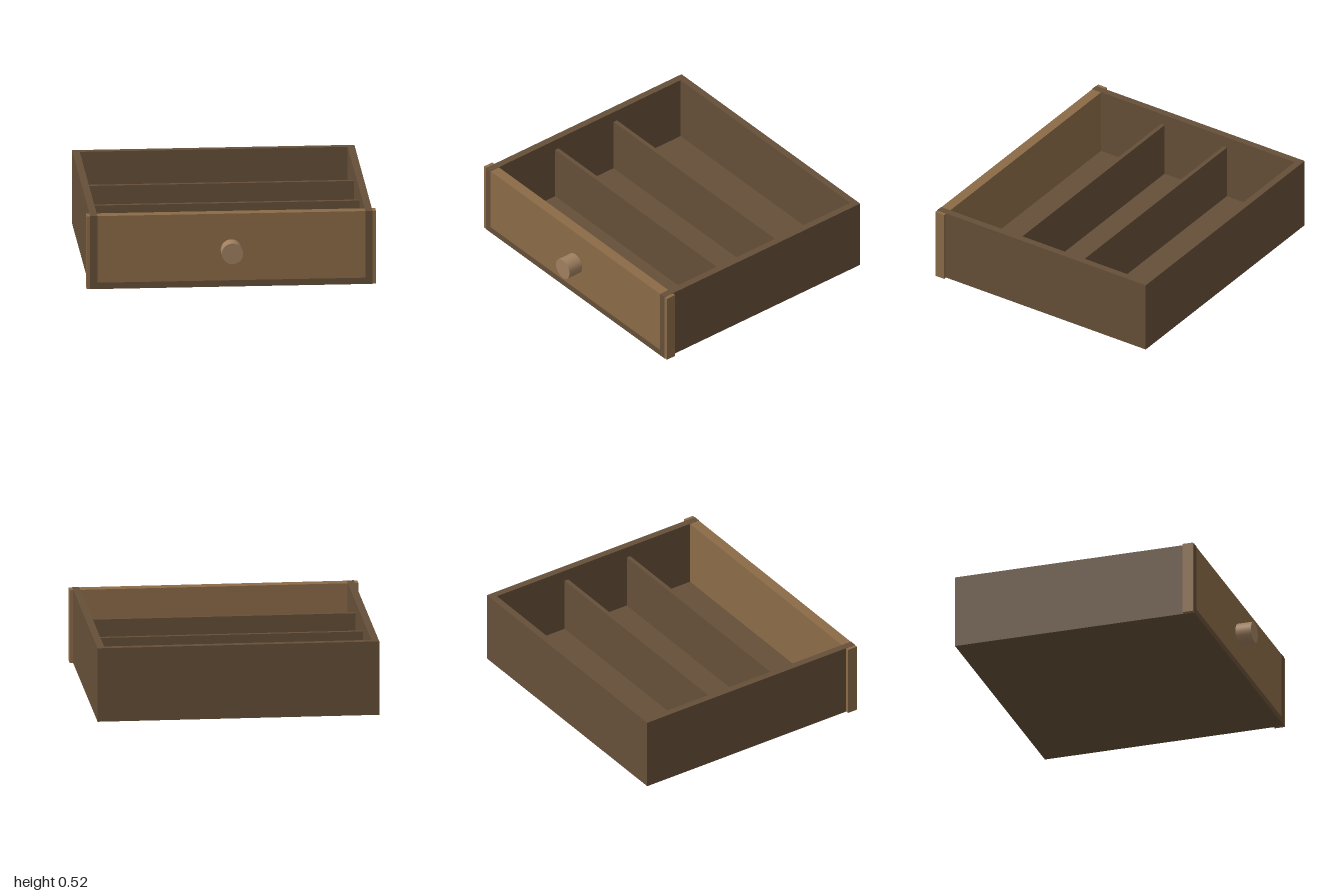
import * as THREE from 'three';

export function createModel() {
  const drawer = new THREE.Group();
  drawer.name = 'drawer';

  const darkWood = new THREE.MeshStandardMaterial({ color: 0x654f38 });
  const lightWood = new THREE.MeshStandardMaterial({ color: 0x8b6b47 });
  const knobWood = new THREE.MeshStandardMaterial({ color: 0xa08060 });

  // Adds a board spanning the given ranges on each axis
  function board(name, material, [x0, x1], [y0, y1], [z0, z1]) {
    const mesh = new THREE.Mesh(new THREE.BoxGeometry(x1 - x0, y1 - y0, z1 - z0), material);
    mesh.position.set((x0 + x1) / 2, (y0 + y1) / 2, (z0 + z1) / 2);
    mesh.name = name;
    drawer.add(mesh);
  }

  const height = 0.522, floorTop = 0.045;
  const outer = 0.976, inner = 0.926;
  const back = -0.925, front = 0.812;
  const lip = 0.0015; // dark boards sit just proud of the front panel

  // Floor and front panel
  board('floor', darkWood, [-outer, outer], [0, floorTop], [back, front + lip]);
  board('frontPanel', lightWood, [-1, 1], [lip, height - lip], [0.738, front]);

  // Side walls run through to the face of the front panel
  for (const [name, s] of [['leftWall', 1], ['rightWall', -1]]) {
    const xs = [s * inner, s * outer].sort((a, b) => a - b);
    board(name, darkWood, xs, [0, height], [back, front + lip]);
  }
  board('backWall', darkWood, [-inner, inner], [floorTop, height], [back, -0.876]);

  // Two lower dividers splitting the tray into three compartments
  for (const z of [-0.295, 0.224]) {
    board('divider', darkWood, [-inner, inner], [floorTop, 0.44], [z - 0.015, z + 0.015]);
  }

  // Round pull knob
  const knob = new THREE.Mesh(new THREE.CylinderGeometry(0.074, 0.074, 0.113, 32), knobWood);
  knob.rotation.x = Math.PI / 2;
  knob.position.set(0, 0.263, front + 0.0565);
  knob.name = 'knob';
  drawer.add(knob);

  return drawer;
}
